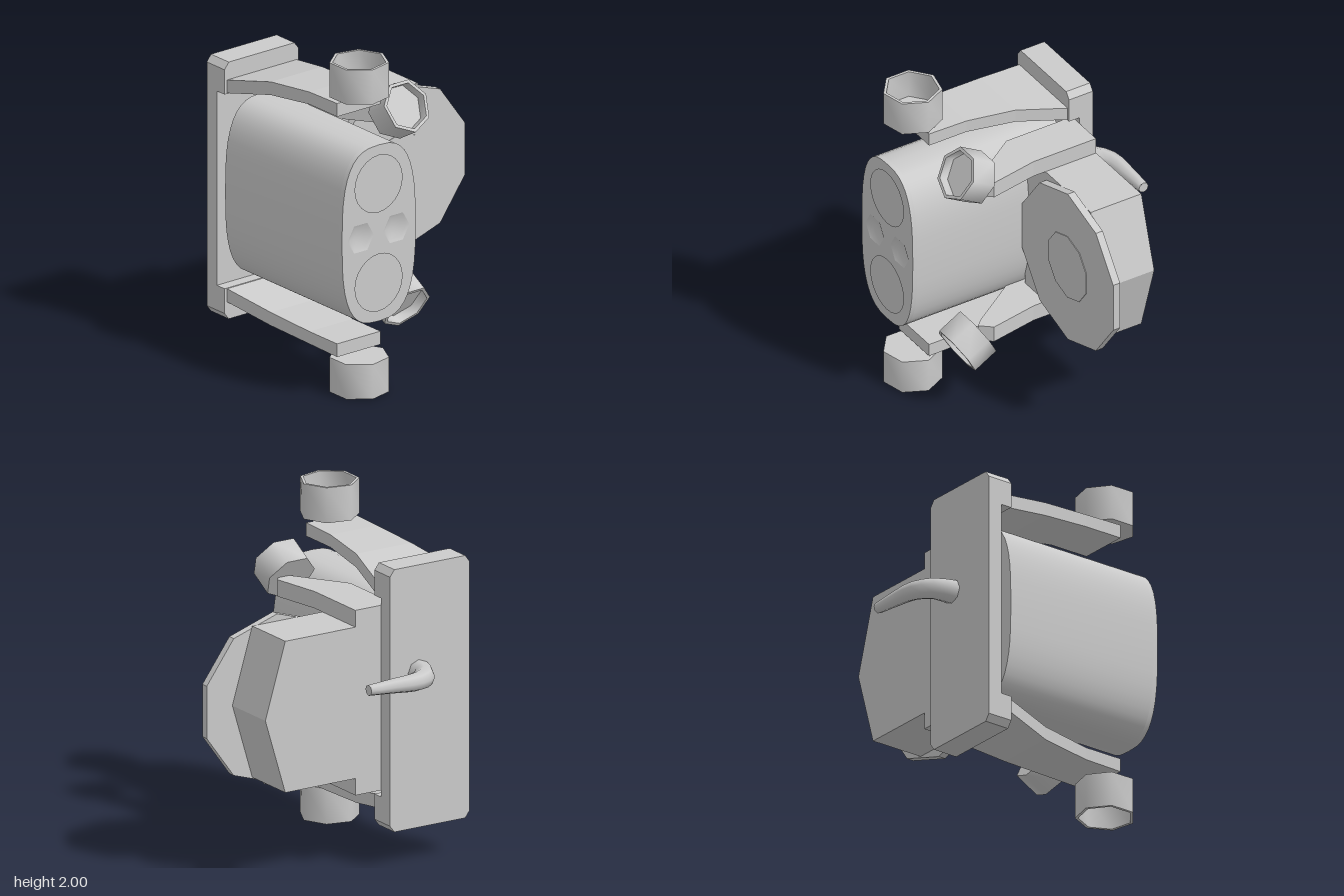
import * as THREE from 'three';
import { toCreasedNormals } from 'three/addons/utils/BufferGeometryUtils.js';

const material = new THREE.MeshStandardMaterial({ color: 0xcccccc });
const CZ = 0.478; // z of the housing axis

function add(parent, name, geometry, crease = 0.5) {
  const mesh = new THREE.Mesh(toCreasedNormals(geometry, crease), material);
  mesh.name = name;
  parent.add(mesh);
  return mesh;
}

// Extrude a [z, y] outline from x0 to x1, with optional hole outlines
function extrudeX(points, x0, x1, holes = []) {
  const toVec = ([z, y]) => new THREE.Vector2(-z, y);
  const shape = new THREE.Shape(points.map(toVec));
  holes.forEach(h => shape.holes.push(new THREE.Path(h.map(toVec))));
  return new THREE.ExtrudeGeometry(shape, { depth: x1 - x0, bevelEnabled: false })
    .rotateY(Math.PI / 2).translate(x0, 0, 0);
}

// Rounded outline in [z, y]; exponent 2 gives an ellipse
function oval(z, y, a, b, n, exponent = 2) {
  const p = v => Math.sign(v) * Math.abs(v) ** (2 / exponent);
  return Array.from({ length: n }, (_, i) => {
    const t = i / n * Math.PI * 2;
    return [z + a * p(Math.cos(t)), y + b * p(Math.sin(t))];
  });
}

// Seven-sided open cup along +y, standing on its closed end
function cupGeometry(r, length, wall, depth, phi) {
  const ri = r - wall, f = length - depth;
  const profile = [[0, 0], [r, 0], [r, length], [ri, length], [ri, f], [0, f]];
  return new THREE.LatheGeometry(profile.map(p => new THREE.Vector2(...p)), 7, phi);
}

// Bent arm: a box whose cross-sections follow stations [x, y0, y1, z0, z1]
function armGeometry() {
  const stations = [
    [-0.36, 1.59, 1.67, 0.22, 0.737], [-0.03, 1.66, 1.74, 0.29, 0.665],
    [0.28, 1.69, 1.765, 0.32, 0.636], [0.53, 1.69, 1.77, 0.32, 0.636]];
  const g = new THREE.BoxGeometry(1, 1, 1, 3, 1, 1);
  const pos = g.attributes.position;
  for (let i = 0; i < pos.count; i++) {
    const [x, y0, y1, z0, z1] = stations[Math.round((pos.getX(i) + 0.5) * 3)];
    pos.setXYZ(i, x, pos.getY(i) > 0 ? y1 : y0, pos.getZ(i) > 0 ? z1 : z0);
  }
  return g;
}

// Tube that narrows along its length
function taperedTube(points, r0, r1) {
  const curve = new THREE.CatmullRomCurve3(points.map(p => new THREE.Vector3(...p)));
  const steps = 12, sides = 8;
  const g = new THREE.TubeGeometry(curve, steps, 1, sides);
  const pos = g.attributes.position, v = new THREE.Vector3();
  for (let i = 0; i < pos.count; i++) {
    const t = Math.floor(i / (sides + 1)) / steps;
    const c = curve.getPointAt(t);
    v.fromBufferAttribute(pos, i).sub(c).multiplyScalar(THREE.MathUtils.lerp(r0, r1, t)).add(c);
    pos.setXYZ(i, v.x, v.y, v.z);
  }
  return g;
}

export function createModel() {
  const model = new THREE.Group();
  model.name = 'model';

  // Channel-shaped side plate with chamfered corners
  const web = [[0.24, 0.22], [0.72, 0.22], [0.75, 0.26], [0.75, 1.74],
    [0.72, 1.78], [0.24, 1.78], [0.21, 1.74], [0.21, 0.26]];
  add(model, 'sidePlate', extrudeX(web, -0.5, -0.41));
  const lip = [[0.21, 1.59], [0.75, 1.59], [0.75, 1.74], [0.72, 1.78], [0.24, 1.78], [0.21, 1.74]];
  add(model, 'upperLip', extrudeX(lip, -0.41, -0.34));
  add(model, 'lowerLip', extrudeX(lip.map(([z, y]) => [z, 2 - y]), -0.41, -0.34));

  // Main housing with a recessed end face
  const outline = oval(CZ, 1, 0.268, 0.535, 40, 2.9);
  const ports = [0.7, 1.3].map(y => oval(0.48, y, 0.172, 0.172, 24));
  const dimples = [0.35, 0.61].map(z => oval(z, 1, 0.095, 0.095, 6));
  add(model, 'housing', extrudeX(outline, -0.34, 0.68), 0.6);
  add(model, 'housingFace', extrudeX(outline, 0.68, 0.71, [...ports, ...dimples]), 0.6);
  for (const z of [0.35, 0.61]) {
    const bowl = [[0, -0.02], [0.04, -0.016], [0.075, -0.008], [0.095, 0]];
    const g = new THREE.LatheGeometry(bowl.map(p => new THREE.Vector2(...p)).reverse(), 6)
      .rotateZ(-Math.PI / 2);
    add(model, 'dimple', g, 1.2).position.set(0.71, 1, z);
  }

  // Arms, braces and cups, above (s = 1) and below (s = -1)
  for (const s of [1, -1]) {
    const side = s > 0 ? 'upper' : 'lower';

    const arm = armGeometry().translate(0, -1, -CZ);
    if (s < 0) arm.rotateX(Math.PI);
    add(model, side + 'Arm', arm.translate(0, 1, CZ), 0.05);

    const endCup = cupGeometry(0.173, 0.21, 0.018, 0.17, Math.PI);
    if (s < 0) endCup.rotateZ(Math.PI);
    add(model, side + 'EndCup', endCup, 0.95).position.set(0.54, 1 + s * 0.79, 0.483);

    const brace = new THREE.Shape([[-0.41, 0.035], [0.01, 0.035], [0.31, -0.02],
      [0.38, 0.04], [0.34, 0.08], [0.03, 0.29], [-0.41, 0.29]]
      .map(([x, z]) => new THREE.Vector2(x, -z)));
    const braceGeo = new THREE.ExtrudeGeometry(brace, { depth: 0.1, bevelEnabled: false })
      .rotateX(-Math.PI / 2).translate(0, s > 0 ? 1.45 : 0.45, 0);
    add(model, side + 'Brace', braceGeo, 0.05);

    const tilted = cupGeometry(0.157, 0.163, 0.02, 0.06, Math.PI / 2)
      .rotateZ(s > 0 ? -Math.PI / 3 : -2 * Math.PI / 3);
    add(model, side + 'TiltedCup', tilted, 0.95).position.set(0.35, 1 + s * 0.53, 0.095);
  }

  // Rear block with a bowed back, carrying a ten-sided disc
  const block = [[0.25, 0.55], [0.25, 1.45], [-0.44, 1.45], [-0.575, 1], [-0.44, 0.55]];
  add(model, 'rearBlock', extrudeX(block, -0.41, -0.07), 0.05);
  for (const [name, r, x0, x1] of [['disc', 0.503, -0.07, -0.024], ['discHub', 0.21, -0.03, -0.02]]) {
    const g = new THREE.CylinderGeometry(r, r, x1 - x0, 10, 1, false, Math.PI / 2)
      .rotateZ(-Math.PI / 2);
    add(model, name, g, 0.05).position.set((x0 + x1) / 2, 0.99, -0.27);
  }

  // Bent handle passing through the side plate
  const path = [[-0.39, 1.145, 0.42], [-0.5, 1.145, 0.405], [-0.6, 1.148, 0.375],
    [-0.665, 1.152, 0.28], [-0.675, 1.158, 0.1], [-0.675, 1.16, -0.05]];
  const handle = new THREE.Group();
  handle.name = 'handle';
  model.add(handle);
  add(handle, 'handleRod', taperedTube(path, 0.08, 0.032), 1);
  add(handle, 'handleTip', new THREE.CircleGeometry(0.032, 8).rotateY(Math.PI))
    .position.set(...path[5]);
  add(handle, 'handleRoot', new THREE.CircleGeometry(0.08, 8).rotateY(Math.PI / 2))
    .position.set(...path[0]);

  return model;
}
